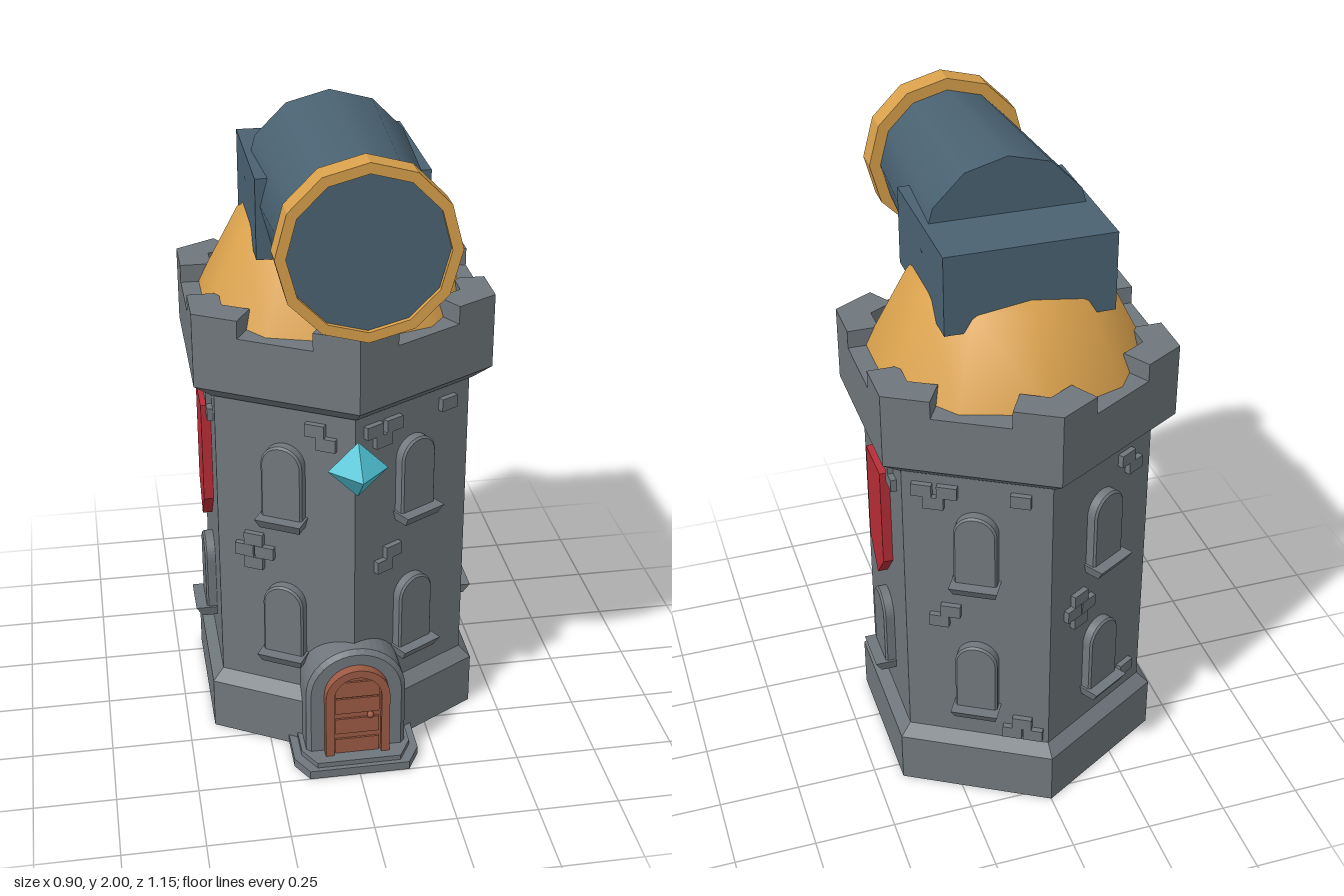
import * as THREE from 'three';

const mat = (name, color) => {
  const m = new THREE.MeshStandardMaterial({ color });
  m.name = name;
  return m;
};

export function createModel() {
  const stone = mat('stone', 0x70777c);
  const gold = mat('gold', 0xd8a04c);
  const slate = mat('slate blue', 0x4a6272);
  const red = mat('banner red', 0xb82d38);
  const wood = mat('wood', 0x9c5a44);
  const cyan = mat('crystal cyan', 0x4fc3d4);

  const root = new THREE.Group();
  root.name = 'observatoryTower';
  const CZ = -0.0625; // tower axis
  const APO = 0.383; // wall distance from the axis

  const add = (parent, name, geo, material, x = 0, y = 0, z = 0) => {
    const mesh = new THREE.Mesh(geo, material);
    mesh.name = name;
    mesh.position.set(x, y, z);
    parent.add(mesh);
    return mesh;
  };
  const flat = (geo) => {
    const g = geo.index ? geo.toNonIndexed() : geo;
    g.computeVertexNormals();
    return g;
  };
  const lathe = (pts, sides) =>
    new THREE.LatheGeometry(pts.map(([r, y]) => new THREE.Vector2(r, y)), sides);
  const polygon = (pts) => new THREE.Shape(pts.map(([x, y]) => new THREE.Vector2(x, y)));
  const extrude = (shape, depth, bevel = 0) =>
    new THREE.ExtrudeGeometry(shape, {
      depth, curveSegments: 10, bevelEnabled: bevel > 0, bevelSegments: 1,
      bevelSize: bevel, bevelThickness: bevel, bevelOffset: -bevel,
    });

  // Round-headed outline, straight up to the springing line
  const arch = (half, y0, top, Type = THREE.Shape) => {
    const s = new Type();
    s.moveTo(-half, y0);
    s.lineTo(half, y0);
    s.lineTo(half, top - half);
    s.absarc(0, top - half, half, 0, Math.PI, false);
    s.closePath();
    return s;
  };
  const archRing = (half, y0, top, w, foot = 0) => {
    const s = arch(half, y0, top);
    s.holes.push(arch(half - w, y0 + foot, top - w, THREE.Path));
    return s;
  };

  // Hexagonal shaft with plinth and flared parapet
  add(root, 'towerWalls', flat(lathe([
    [0, 0], [0.4825, 0], [0.4825, 0.17], [0.4425, 0.205], [0.4425, 1.175],
    [0.452, 1.175], [0.512, 1.22], [0.512, 1.395], [0, 1.395],
  ], 6)), stone, 0, 0, CZ);

  // Merlons wrapping each corner of the parapet
  const c30 = Math.cos(Math.PI / 6);
  const faceEnd = (apo, gap) => [apo * 0.5 - gap * c30, apo * c30 + gap * 0.5];
  const [ox, oy] = faceEnd(0.4434, 0.115);
  const [ix, iy] = faceEnd(0.35, 0.115);
  const merlonShape = polygon([
    [0, 0.512], [-ox, oy], [-ix, iy], [0, 0.35 / c30], [ix, iy], [ox, oy],
  ]);
  for (let i = 0; i < 6; i++) {
    const g = extrude(merlonShape, 0.075).rotateX(-Math.PI / 2).rotateY((i * Math.PI) / 3);
    add(root, 'merlon', g, stone, 0, 1.375, CZ);
  }

  // Wall details: each face group has +z pointing out of the wall
  const sillGeo = new THREE.BoxGeometry(0.145, 0.034, 0.07);
  const sp = sillGeo.attributes.position;
  for (let i = 0; i < sp.count; i++) {
    if (sp.getY(i) < 0) {
      sp.setX(i, sp.getX(i) * 0.88);
      if (sp.getZ(i) > 0) sp.setZ(i, 0.015);
    }
  }
  flat(sillGeo);
  sillGeo.computeVertexNormals();
  const frameGeo = extrude(archRing(0.065, 0, 0.245, 0.026), 0.033, 0.006);
  const paneGeo = extrude(arch(0.042, 0, 0.223), 0.008);
  const brickGeo = new THREE.BoxGeometry(0.06, 0.04, 0.03);
  const bannerGeo = extrude(polygon([
    [-0.08, 1.07], [-0.08, 0.745], [0, 0.65], [0.08, 0.745], [0.08, 1.07],
  ]), 0.03);

  const addWindow = (face, y) => {
    const w = new THREE.Group();
    w.name = 'window';
    w.position.y = y;
    add(w, 'windowPane', paneGeo, slate);
    add(w, 'windowFrame', frameGeo, stone, 0, 0, -0.006);
    add(w, 'windowSill', flat(sillGeo), stone, 0, -0.009, 0.033);
    face.add(w);
  };

  const topTrio = [[-0.16, 1.12], [-0.085, 1.12], [-0.125, 1.08], [0.13, 1.12]];
  const topPair = [[0.1, 1.12], [0.135, 1.08]];
  const midPair = [[-0.08, 0.69], [-0.115, 0.65]];
  const cross = [[-0.1, 0.715], [-0.13, 0.674], [-0.065, 0.674], [-0.1, 0.633]];
  const faces = [
    { angle: 30, bricks: [...topTrio, ...midPair] },
    { angle: 90, bricks: topPair, banner: true },
    { angle: 150, bricks: [...topTrio, ...midPair, [0.11, 0.24], [0.175, 0.24], [0.14, 0.28]] },
    { angle: 210, bricks: [...topPair, ...cross, [0.14, 0.29]] },
    { angle: 270, bricks: topPair, banner: true },
    { angle: 330, bricks: [...topPair, ...cross] },
  ];
  for (const { angle, bricks, banner } of faces) {
    const a = THREE.MathUtils.degToRad(angle);
    const face = new THREE.Group();
    face.name = 'wallFace';
    face.rotation.y = a;
    face.position.set(Math.sin(a) * APO, 0, CZ + Math.cos(a) * APO);
    addWindow(face, 0.33);
    if (banner) add(face, 'banner', bannerGeo, red);
    else addWindow(face, 0.81);
    for (const [u, y] of bricks) add(face, 'brick', brickGeo, stone, u, y, 0.003);
    root.add(face);
  }

  // Doorway: stone surround, wooden frame, planked door and knob
  add(root, 'doorSurround', extrude(arch(0.155, 0, 0.405), 0.133, 0.014), stone, 0, 0, 0.276);
  add(root, 'doorFrame', extrude(archRing(0.1, 0.035, 0.355, 0.026), 0.035), wood, 0, 0, 0.42);
  add(root, 'doorPanel', extrude(arch(0.078, 0.035, 0.33), 0.018), wood, 0, 0, 0.42);
  for (const y of [0.07, 0.145, 0.22, 0.28])
    add(root, 'doorPlank', new THREE.BoxGeometry(0.136, 0.055, 0.008), wood, 0, y, 0.44);
  add(root, 'doorKnob', new THREE.SphereGeometry(0.011, 8, 6), wood, 0.04, 0.185, 0.449);

  // Doorstep in two layers
  const step = (half, front) => polygon([
    [-half, -0.3], [-half, -(front - 0.07)], [-half + 0.04, -front],
    [half - 0.04, -front], [half, -(front - 0.07)], [half, -0.3],
  ]);
  add(root, 'lowerStep', extrude(step(0.195, 0.5), 0.028).rotateX(-Math.PI / 2), stone);
  add(root, 'upperStep', extrude(step(0.17, 0.485), 0.045).rotateX(-Math.PI / 2), stone);

  // Floating crystal
  add(root, 'crystal', new THREE.OctahedronGeometry(0.088), cyan, 0, 1.035, 0.425);

  // Dome
  add(root, 'dome', lathe([
    [0.42, 1.36], [0.407, 1.4], [0.2825, 1.64], [0.12, 1.71], [0, 1.72],
  ], 10), gold, 0, 0, CZ);

  // Telescope: mount block, tapered barrel, gold rim and lens
  add(root, 'telescopeMount', new THREE.BoxGeometry(0.5, 0.24, 0.46), slate, 0, 1.71, -0.065);
  add(root, 'telescopeBarrel',
    new THREE.CylinderGeometry(0.215, 0.252, 0.595, 12).rotateX(Math.PI / 2),
    slate, 0, 1.748, 0.2075);
  add(root, 'telescopeRim', flat(lathe([
    [0.2, 0], [0.25, 0], [0.25, 0.075], [0.22, 0.075], [0.22, 0.05],
  ], 12)).rotateX(Math.PI / 2), gold, 0, 1.75, 0.5);
  add(root, 'telescopeLens',
    new THREE.CylinderGeometry(0.222, 0.222, 0.05, 12).rotateX(Math.PI / 2),
    slate, 0, 1.75, 0.535);

  return root;
}
